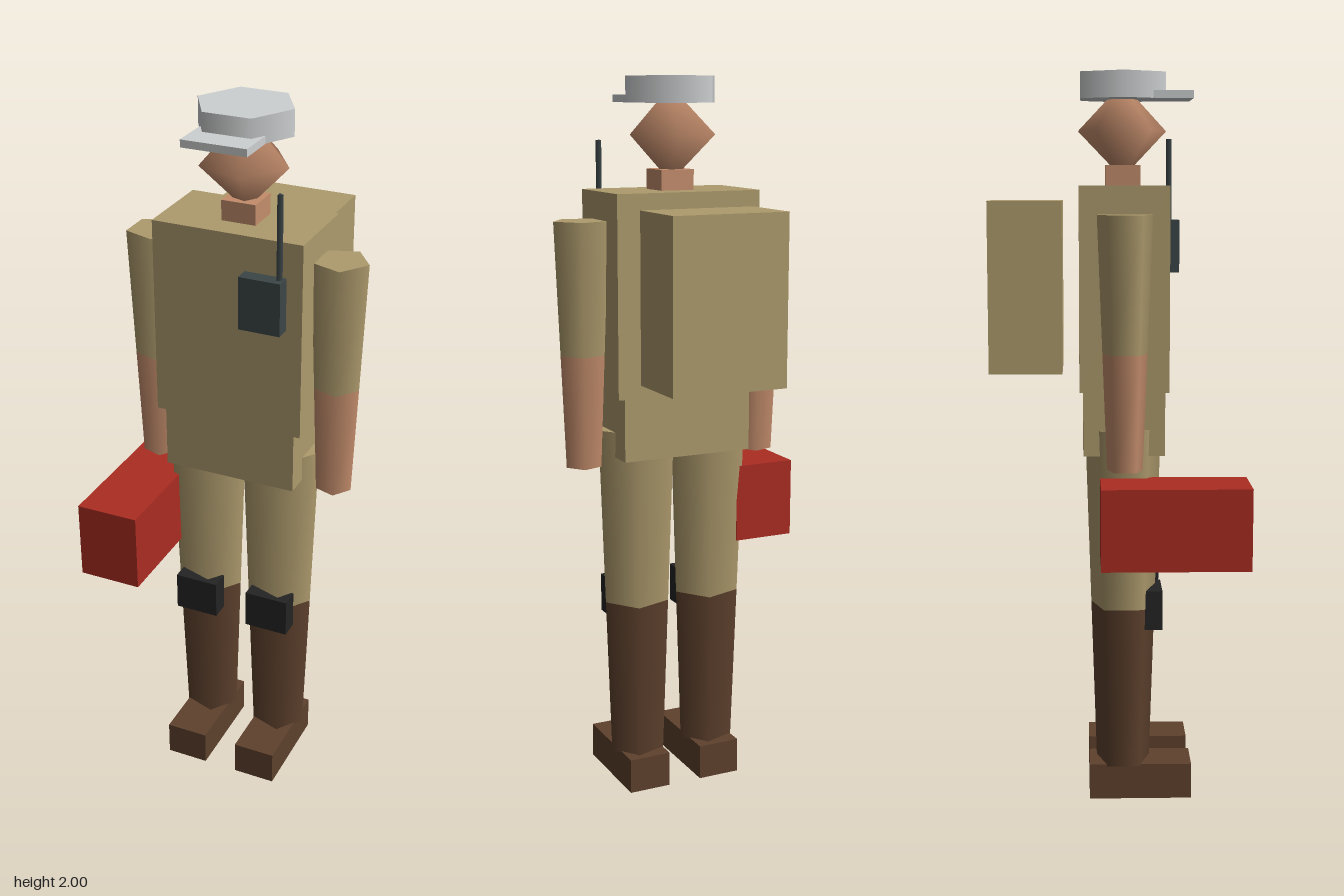
import * as THREE from 'three';

const mat = (name, color) => {
  const m = new THREE.MeshStandardMaterial({ color });
  m.name = name;
  return m;
};

export function createModel() {
  const group = new THREE.Group();
  group.name = 'fieldWorker';

  const khaki = mat('khaki cloth', 0xae9b6d);
  const skin = mat('skin', 0xc48d6c);
  const brown = mat('brown leather', 0x5e412d);
  const grey = mat('light grey cap', 0xcdd0d1);
  const black = mat('black pad', 0x242424);
  const slate = mat('slate radio', 0x3c4547);
  const red = mat('red case', 0xaa2c22);

  const add = (name, geometry, material, x = 0, y = 0, z = 0) => {
    const mesh = new THREE.Mesh(geometry, material);
    mesh.name = name;
    mesh.position.set(x, y, z);
    group.add(mesh);
    return mesh;
  };

  // Box given by its limits on each axis
  const box = (name, material, [x0, x1], [y0, y1], [z0, z1]) =>
    add(name, new THREE.BoxGeometry(x1 - x0, y1 - y0, z1 - z0), material,
      (x0 + x1) / 2, (y0 + y1) / 2, (z0 + z1) / 2);

  // Upright tapered prism with one corner towards +x
  const prism = (name, material, sides, x, z, [y0, r0], [y1, r1], open = false) =>
    add(name, new THREE.CylinderGeometry(r1, r0, y1 - y0, sides, 1, open, Math.PI / 2),
      material, x, (y0 + y1) / 2, z);

  // Tapered limb in two colours that meet at height yMid
  const limb = (upper, lower, matUpper, matLower, x, [y0, r0], yMid, [y1, r1]) => {
    const rMid = r0 + (r1 - r0) * (yMid - y0) / (y1 - y0);
    prism(upper, matUpper, 5, x, 0.015, [yMid, rMid], [y1, r1]);
    prism(lower, matLower, 5, x, 0.015, [y0, r0], [yMid, rMid]);
  };

  // Trunk and backpack
  box('torso', khaki, [-0.205, 0.215], [1.155, 1.7], [-0.105, 0.135]);
  box('hips', khaki, [-0.185, 0.193], [0.98, 1.16], [-0.095, 0.125]);
  box('backpack', khaki, [-0.16, 0.17], [1.2, 1.66], [-0.348, -0.15]);

  // Neck and faceted head
  box('neck', skin, [-0.042, 0.054], [1.7, 1.755], [-0.032, 0.063]);
  const head = add('head', new THREE.SphereGeometry(1, 5, 2, Math.PI), skin, 0.005, 1.847, 0.015);
  head.scale.set(0.12, 0.127, 0.1276);

  // Cap with visor
  prism('cap', grey, 6, 0.005, 0.015, [1.93, 0.132], [2, 0.132]);
  box('visor', grey, [-0.085, 0.093], [1.93, 1.95], [0.095, 0.203]);

  // Limbs, boots and knee pads
  for (const [side, s] of [['left', 1], ['right', -1]]) {
    limb(`${side}Sleeve`, `${side}Forearm`, khaki, skin,
      0.005 + s * 0.265, [0.955, 0.05], 1.265, [1.625, 0.077]);
    const x = 0.005 + s * 0.11;
    limb(`${side}Thigh`, `${side}Gaiter`, khaki, brown,
      x, [0.095, 0.078], 0.55, [1.05, 0.11]);
    box(`${side}Boot`, brown, [x - 0.061, x + 0.061], [0, 0.1], [-0.08, 0.204]);
    box(`${side}KneePad`, black, [x - 0.063, x + 0.063], [0.49, 0.6], [0.067, 0.121]);
  }

  // Chest radio and antenna
  box('radio', slate, [0.056, 0.171], [1.46, 1.605], [0.134, 0.176]);
  prism('antenna', slate, 3, 0.158, 0.151, [1.59, 0.009], [1.83, 0.009]);

  // Carried case
  box('case', red, [-0.349, -0.173], [0.7, 0.92], [-0.05, 0.347]);

  return group;
}
